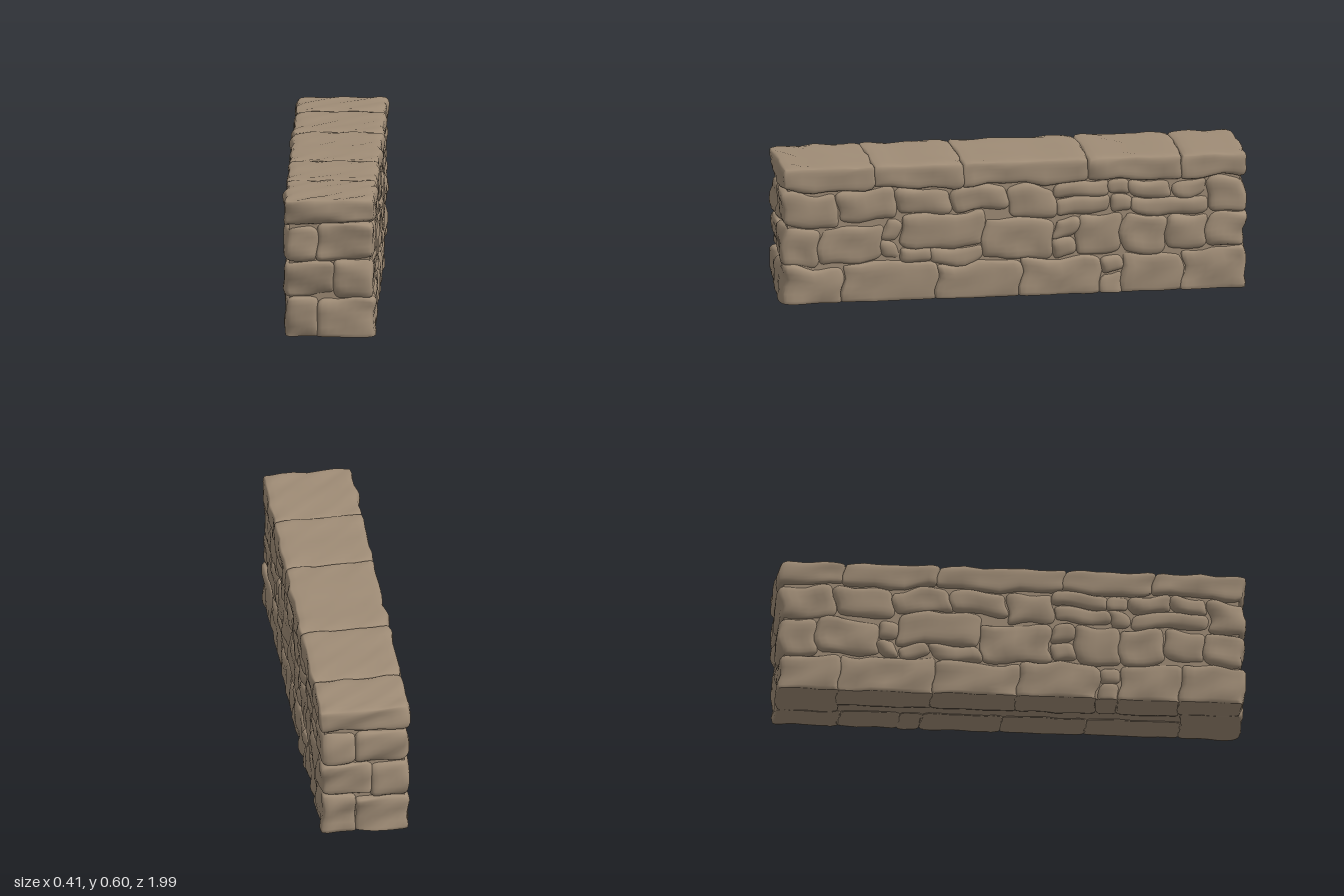
import * as THREE from 'three';
import { mergeVertices } from 'three/addons/utils/BufferGeometryUtils.js';

const stoneMaterial = new THREE.MeshStandardMaterial({ color: 0x9f8c76 });
stoneMaterial.name = 'weathered sandstone';

let seed = 11;
function rand() {
  seed = (seed * 16807) % 2147483647;
  return seed / 2147483647;
}

// Smooth bend shared by all stones, so that neighbours keep fitting together
function warp(p) {
  const { x, y, z } = p;
  const fade = Math.min(1, Math.max(0, y / 0.08)) * Math.min(1, Math.max(0, (0.6 - y) / 0.1));
  p.y += fade * (0.008 * Math.sin(z * 13 + x * 5) + 0.005 * Math.sin(z * 31 + x * 9 + 2));
  p.z += 0.007 * Math.sin(y * 27 + x * 11) + 0.004 * Math.sin(y * 61 + x * 23 + 1);
  p.x += 0.002 * Math.sin(z * 37 + y * 21) + 0.002 * Math.sin(y * 47 - z * 19);
}

// One rounded, slightly lumpy stone filling the box from lo to hi
function stone(name, lo, hi, radius = 0.034) {
  const n = 10;
  let geo = new THREE.BoxGeometry(2, 2, 2, n, n, n);
  geo.deleteAttribute('normal');
  geo.deleteAttribute('uv');
  geo = mergeVertices(geo, 1e-4);
  const min = new THREE.Vector3(...lo).addScalar(-0.005);
  const max = new THREE.Vector3(...hi).addScalar(0.005);
  const centre = min.clone().add(max).multiplyScalar(0.5);
  const half = max.clone().sub(min).multiplyScalar(0.5);
  const r = Math.min(radius, 0.8 * Math.min(half.x, half.y, half.z));
  const inner = half.clone().subScalar(r);
  const phase = [rand() * 6, rand() * 6, rand() * 6];
  const lump = 0.003 + 0.003 * rand();
  const tilt = (rand() - 0.5) * 0.06;
  const onGround = lo[1] <= 0;
  const p = new THREE.Vector3(), core = new THREE.Vector3();
  const pos = geo.attributes.position;
  const spread = (t) => Math.sin(t * Math.PI / 2);
  for (let i = 0; i < pos.count; i++) {
    p.fromBufferAttribute(pos, i);
    p.set(spread(p.x), spread(p.y), spread(p.z)).multiply(half);
    core.copy(p).clamp(inner.clone().negate(), inner);
    const dir = p.clone().sub(core).normalize();
    const bump = Math.sin(p.z * 24 + phase[0]) * Math.sin(p.y * 34 + phase[1])
      + 0.6 * Math.sin(p.z * 43 + p.x * 38 + phase[2]);
    p.copy(core).addScaledVector(dir, r + lump * bump);
    p.y += tilt * p.z * (onGround || hi[1] > 0.55 ? 0 : 1);
    p.add(centre);
    warp(p);
    if (onGround) p.y = Math.max(0, p.y);
    pos.setXYZ(i, p.x, Math.min(0.598, p.y), Math.max(-0.997, Math.min(0.997, p.z)));
  }
  geo.computeVertexNormals();
  const mesh = new THREE.Mesh(geo, stoneMaterial);
  mesh.name = name;
  return mesh;
}

// Stones of one long face: [z start, z end, bottom, top]
const COURSES = [
  [
    [0.73, 0.985, -0.02, 0.155], [0.33, 0.73, -0.02, 0.165], [-0.03, 0.33, -0.02, 0.15],
    [-0.37, -0.03, -0.02, 0.16], [-0.46, -0.37, -0.02, 0.08], [-0.46, -0.37, 0.08, 0.15],
    [-0.72, -0.46, -0.02, 0.165], [-0.985, -0.72, -0.02, 0.175],
  ],
  [
    [0.83, 0.985, 0.16, 0.325], [0.56, 0.83, 0.17, 0.33], [0.48, 0.56, 0.17, 0.25],
    [0.48, 0.56, 0.25, 0.34], [0.13, 0.48, 0.225, 0.375], [0.35, 0.48, 0.165, 0.225],
    [0.13, 0.35, 0.15, 0.225], [-0.17, 0.13, 0.16, 0.335], [-0.27, -0.17, 0.165, 0.25],
    [-0.27, -0.17, 0.25, 0.335], [-0.46, -0.27, 0.165, 0.34], [-0.65, -0.46, 0.165, 0.33],
    [-0.82, -0.65, 0.185, 0.33], [-0.985, -0.82, 0.18, 0.325],
  ],
  [
    [0.75, 0.985, 0.33, 0.48], [0.5, 0.75, 0.35, 0.485], [0.26, 0.5, 0.375, 0.485],
    [0.02, 0.26, 0.38, 0.485], [-0.18, 0.02, 0.34, 0.48], [-0.41, -0.18, 0.35, 0.425],
    [-0.41, -0.18, 0.425, 0.49], [-0.5, -0.41, 0.34, 0.42], [-0.5, -0.41, 0.42, 0.485],
    [-0.83, -0.5, 0.335, 0.41], [-0.68, -0.5, 0.41, 0.485], [-0.83, -0.68, 0.41, 0.485],
    [-0.985, -0.83, 0.33, 0.48],
  ],
];
// Where the corner stones meet on the two ends, per course
const FRONT_SPLIT = [-0.05, 0.02, -0.05];
const BACK_SPLIT = [0.04, -0.03, 0.04];
const FACE_X = 0.188;

export function createModel() {
  const wall = new THREE.Group();
  wall.name = 'stoneWall';

  // Packed rubble behind the joints
  const fill = new THREE.Mesh(new THREE.BoxGeometry(0.342, 0.55, 1.93), stoneMaterial);
  fill.position.y = 0.278;
  fill.name = 'wallCore';
  wall.add(fill);

  // Both long faces; the second is the first turned half round
  for (const side of [1, -1]) {
    const face = new THREE.Group();
    face.name = side > 0 ? 'leftFace' : 'rightFace';
    COURSES.forEach((course, row) => {
      for (const [a, b, bottom, top] of course) {
        const z0 = side > 0 ? a : -b, z1 = side > 0 ? b : -a;
        let split = 0.03 * side;
        if (z1 > 0.98) split = FRONT_SPLIT[row];
        if (z0 < -0.98) split = BACK_SPLIT[row];
        const outer = side * (FACE_X - 0.008 * rand());
        face.add(stone('courseStone', [Math.min(split, outer), bottom, z0], [Math.max(split, outer), top, z1]));
      }
    });
    wall.add(face);
  }

  // Coping slabs
  const joints = [-0.985, -0.715, -0.315, 0.22, 0.6, 0.985];
  const caps = new THREE.Group();
  caps.name = 'copingSlabs';
  for (let i = 0; i < 5; i++) {
    caps.add(stone('copingSlab', [-0.187, 0.492, joints[i]], [0.187, 0.591, joints[i + 1]], 0.024));
  }
  wall.add(caps);
  return wall;
}
